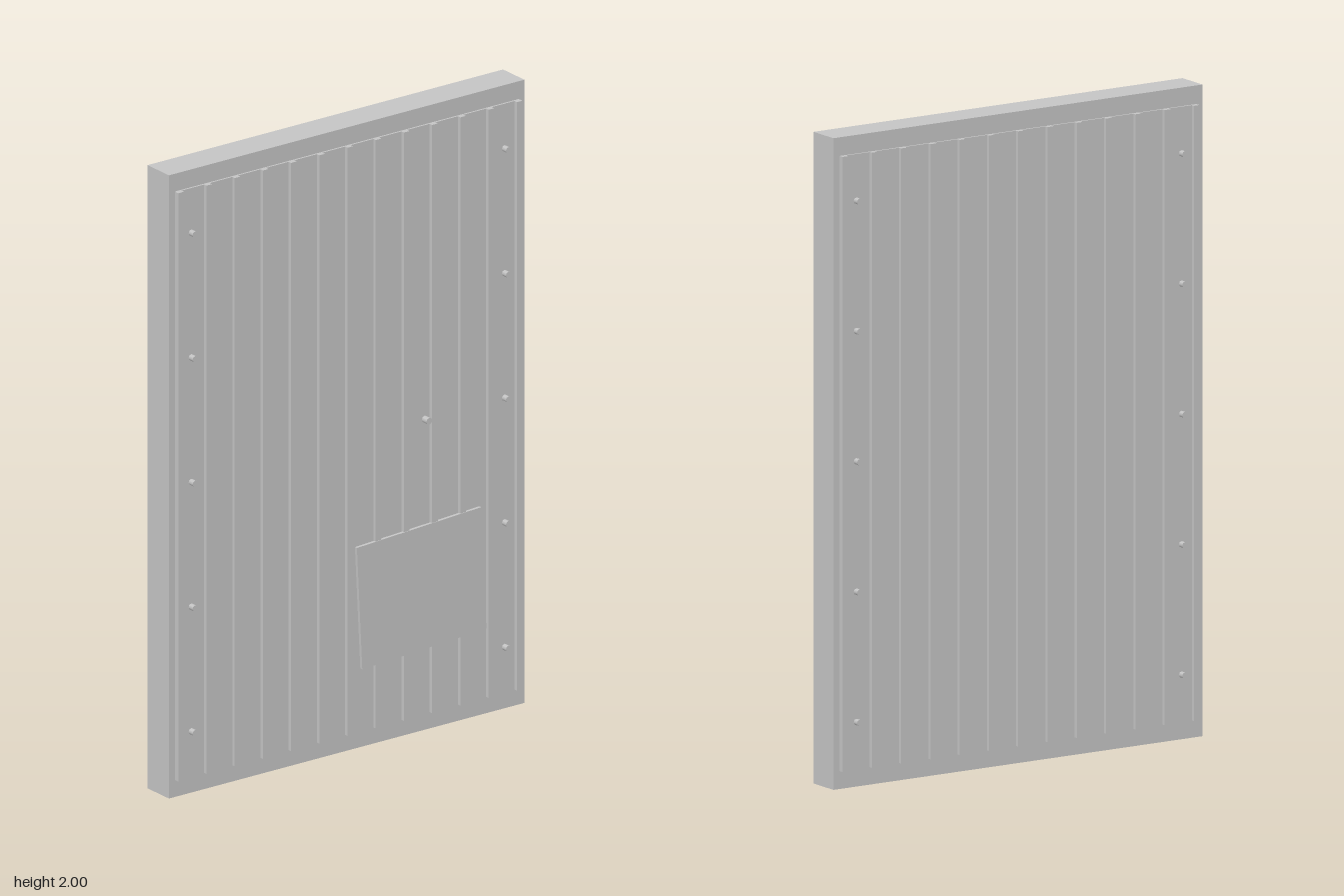
import * as THREE from 'three';

export function createModel() {
  const steel = new THREE.MeshStandardMaterial({ color: 0xc4c4c4 });
  steel.name = 'pale grey steel';
  const door = new THREE.Group();
  door.name = 'ribbedDoor';

  const add = (name, geometry, x, y, z, parent = door) => {
    const mesh = new THREE.Mesh(geometry, steel);
    mesh.name = name;
    mesh.position.set(x, y, z);
    parent.add(mesh);
    return mesh;
  };
  // box spanning z0..z1
  const slab = (name, w, h, z0, z1, x, y, parent) =>
    add(name, new THREE.BoxGeometry(w, h, z1 - z0), x, y, (z0 + z1) / 2, parent);
  // round bolt head with its axis along z
  const bolt = (name, r, z0, z1, x, y, parent) => {
    const g = new THREE.CylinderGeometry(r, r, z1 - z0, 8).rotateX(Math.PI / 2);
    add(name, g, x, y, (z0 + z1) / 2, parent);
  };

  // solid door slab
  slab('doorSlab', 1.332, 2, -0.056, 0.051, 0, 1);

  // ribbed cladding with bolts; the back one is turned round
  const cladding = (name, base, sheet, rib, head) => {
    const side = new THREE.Group();
    side.name = name;
    door.add(side);
    const y = 0.999, h = 1.888;
    slab('sheet', 1.288, h, base, sheet, 0, y, side);
    for (let i = -6; i <= 6; i++) slab('rib', 0.021, h, sheet, rib, i * 0.1057, y, side);
    for (const x of [-0.587, 0.587])
      for (let i = 0; i < 5; i++) bolt('bolt', 0.01, sheet, head, x, 0.2 + i * 0.4, side);
    return side;
  };
  cladding('frontCladding', 0.051, 0.057, 0.069, 0.077);
  cladding('backCladding', 0.056, 0.062, 0.073, 0.08).rotation.y = Math.PI;

  // crooked repair plate and handle knob on the front
  slab('patchPlate', 0.466, 0.395, 0.061, 0.071, 0.266, 0.466).rotation.z = 0.051;
  bolt('knob', 0.011, 0.057, 0.08, 0.288, 1);

  return door;
}
